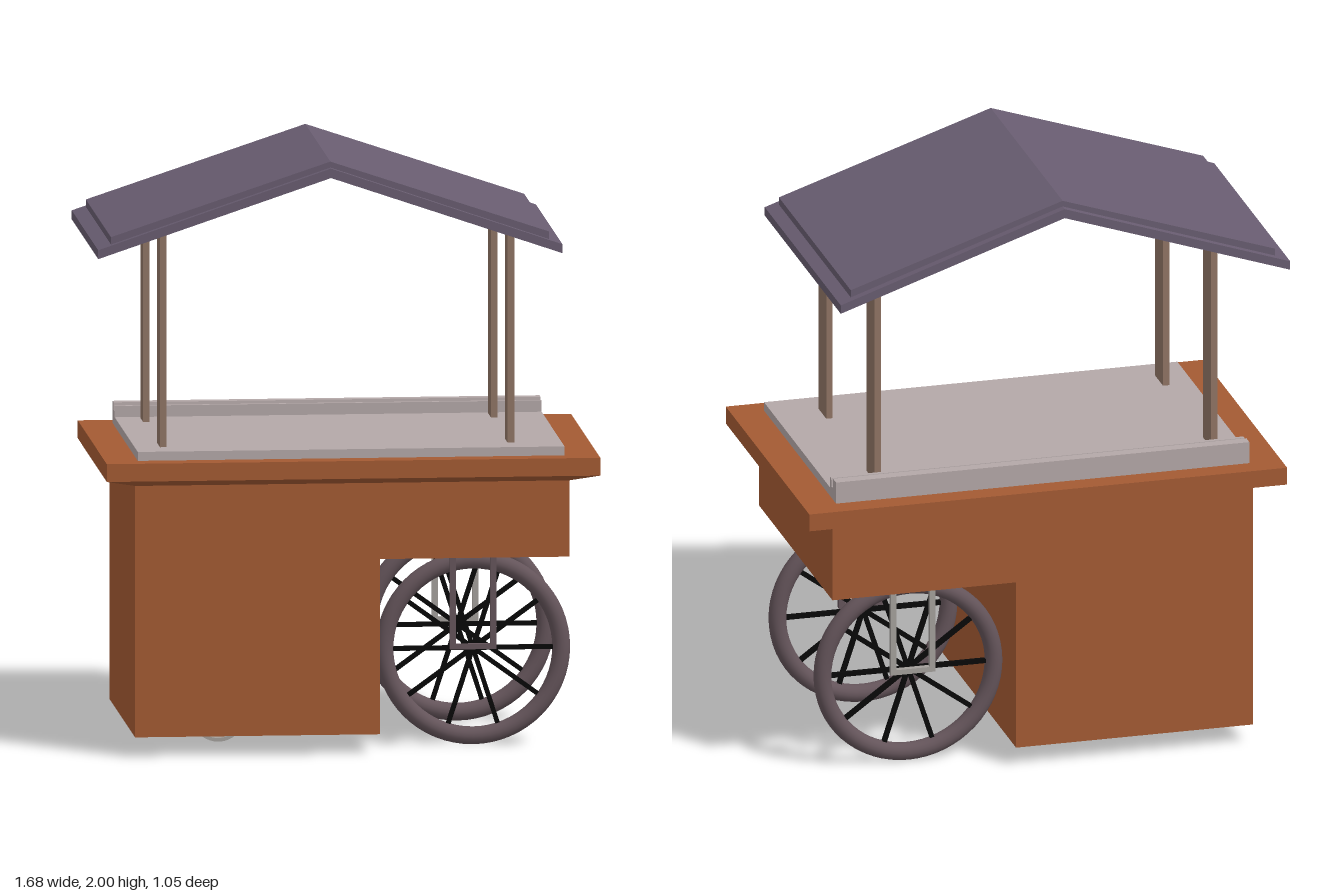
import * as THREE from 'three';

const mat = (color, extra = {}) => new THREE.MeshStandardMaterial({ color, ...extra });
const wood = mat(0xa35a33), roofMat = mat(0x685c70), postMat = mat(0x8f7464);
const trayMat = mat(0xb3a7a7), tyreMat = mat(0x64545a), black = mat(0x080808), steel = mat(0xa39f9b);

function add(parent, name, geometry, material) {
  const mesh = new THREE.Mesh(geometry, material);
  mesh.name = name;
  parent.add(mesh);
  return mesh;
}

// Box given by its limits on each axis
function box(x0, x1, y0, y1, z0, z1) {
  return new THREE.BoxGeometry(x1 - x0, y1 - y0, z1 - z0)
    .translate((x0 + x1) / 2, (y0 + y1) / 2, (z0 + z1) / 2);
}

// Outline in x and y, extruded from z0 to z1
function prism(points, z0, z1) {
  const shape = new THREE.Shape(points.map(([x, y]) => new THREE.Vector2(x, y)));
  return new THREE.ExtrudeGeometry(shape, { depth: z1 - z0, bevelEnabled: false }).translate(0, 0, z0);
}

// Tyre ring with ten spokes, centred on its axle
function makeWheel(name) {
  const wheel = new THREE.Group();
  wheel.name = name;
  add(wheel, 'tyre', new THREE.TorusGeometry(0.296, 0.03, 16, 64), tyreMat);
  for (let i = 0; i < 10; i++) {
    const spoke = add(wheel, 'spoke', new THREE.BoxGeometry(0.28, 0.015, 0.015).translate(0.14, 0, 0), black);
    spoke.rotation.z = (i * Math.PI) / 5;
  }
  return wheel;
}

// U-shaped strap hanging from the body and carrying the axle
function makeBracket(name, z0, z1, material) {
  return add(new THREE.Group(), name, prism([
    [0.355, 0.66], [0.355, 0.33], [0.51, 0.33], [0.51, 0.66],
    [0.49, 0.66], [0.49, 0.348], [0.375, 0.348], [0.375, 0.66],
  ], z0, z1), material);
}

export function createModel() {
  const cart = new THREE.Group();
  cart.name = 'vendorCart';

  // Body with a notch for the wheels
  add(cart, 'body', prism([
    [-0.715, 0.07], [0.105, 0.07], [0.105, 0.66], [0.74, 0.66], [0.74, 0.93], [-0.715, 0.93],
  ], -0.46, 0.465), wood);

  // Counter slab and its tapered underside
  add(cart, 'counter', box(-0.815, 0.838, 0.94, 1.0, -0.525, 0.525), wood);
  const taper = box(-0.815, 0.838, 0.917, 0.94, -0.525, 0.525);
  const p = taper.attributes.position;
  for (let i = 0; i < p.count; i++) {
    if (p.getY(i) < 0.93) {
      p.setX(i, p.getX(i) < 0 ? -0.715 : 0.74);
      p.setZ(i, p.getZ(i) < 0 ? -0.46 : 0.465);
    }
  }
  taper.computeVertexNormals();
  add(cart, 'counterUnderside', taper, wood);

  // Serving top with a channelled rail along the back
  add(cart, 'servingTop', box(-0.705, 0.725, 1.0, 1.03, -0.45, 0.455), trayMat);
  add(cart, 'backRail', prism([
    [0.375, 1.02], [0.45, 1.02], [0.45, 1.075], [0.412, 1.075],
    [0.408, 1.04], [0.392, 1.04], [0.389, 1.068], [0.375, 1.068],
  ], -0.705, 0.725).rotateY(Math.PI / 2), trayMat);

  // Roof posts
  for (const [x, top] of [[-0.61, 1.775], [0.555, 1.755]]) {
    for (const z of [0.3, -0.305]) {
      add(cart, 'post', box(x - 0.011, x + 0.011, 1.02, top, z - 0.05, z + 0.05), postMat);
    }
  }

  // Two-layer gabled roof
  add(cart, 'roofLower', prism([
    [-0.84, 1.685], [-0.06, 1.948], [0.715, 1.685], [0.715, 1.715], [-0.06, 1.98], [-0.84, 1.715],
  ], -0.473, 0.482), roofMat);
  add(cart, 'roofUpper', prism([
    [-0.795, 1.728], [-0.06, 1.975], [0.673, 1.728], [0.673, 1.755], [-0.06, 2.0], [-0.795, 1.755],
  ], -0.446, 0.457), roofMat);

  // Wheels and brackets
  for (const [name, z] of [['frontWheel', 0.265], ['backWheel', -0.3]]) {
    const wheel = makeWheel(name);
    wheel.position.set(0.435, 0.33, z);
    cart.add(wheel);
  }
  cart.add(makeBracket('frontBracket', 0.292, 0.31, tyreMat));
  cart.add(makeBracket('backBracket', -0.358, -0.338, steel));

  // Curved skids under the body
  const skid = new THREE.Shape();
  const half = 0.98;
  skid.absarc(0, 0, 0.09, -Math.PI / 2 - half, -Math.PI / 2 + half, false);
  skid.absarc(0, 0, 0.078, -Math.PI / 2 + half, -Math.PI / 2 - half, true);
  for (const z of [0.272, -0.288]) {
    const geometry = new THREE.ExtrudeGeometry(skid, { depth: 0.045, bevelEnabled: false, curveSegments: 16 });
    add(cart, 'skid', geometry, steel).position.set(-0.42, 0.118, z - 0.0225);
  }

  return cart;
}
